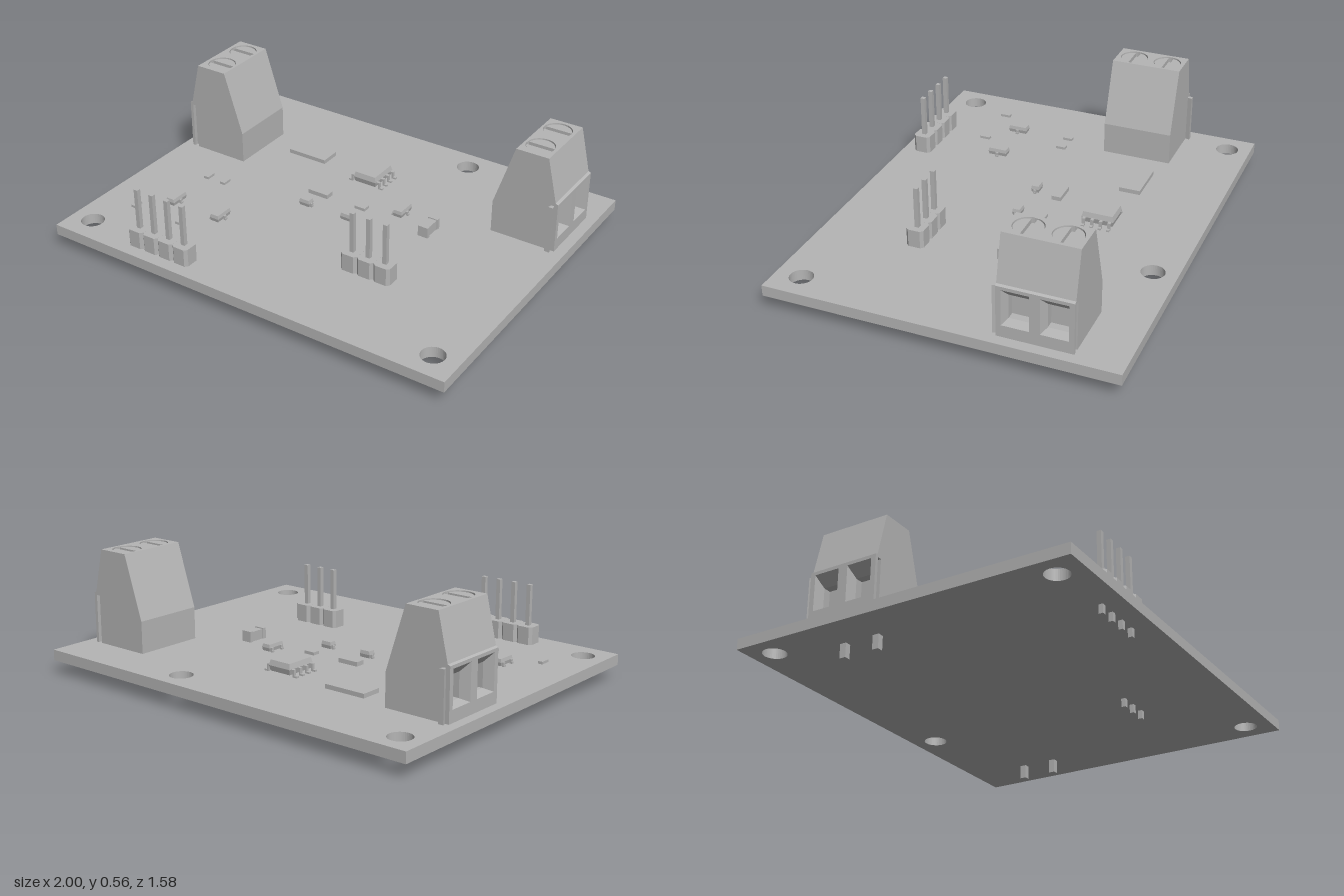
import * as THREE from 'three';

const grey = new THREE.MeshStandardMaterial({ color: 0xb5b5b5 });
grey.name = 'plain grey';
const TOP = 0.115; // upper face of the board

function add(parent, name, geometry, x = 0, y = 0, z = 0) {
  const mesh = new THREE.Mesh(geometry, grey);
  mesh.name = name;
  mesh.position.set(x, y, z);
  parent.add(mesh);
  return mesh;
}

function group(parent, name, x = 0, y = 0, z = 0) {
  const g = new THREE.Group();
  g.name = name;
  g.position.set(x, y, z);
  parent.add(g);
  return g;
}

// Box standing on its local y = 0
const box = (w, h, d) => new THREE.BoxGeometry(w, h, d).translate(0, h / 2, 0);
const poly = (pts) => new THREE.Shape(pts.map(([x, y]) => new THREE.Vector2(x, y)));

// Plan outline (x, -z) raised by h
function raise(shape, h) {
  return new THREE.ExtrudeGeometry(shape, { depth: h, bevelEnabled: false, curveSegments: 20 }).rotateX(-Math.PI / 2);
}

function rectPlan(x0, x1, d, holes) {
  const s = poly([[x0, -d], [x1, -d], [x1, d], [x0, d]]);
  for (const [x, z, r] of holes) s.holes.push(new THREE.Path().absarc(x, -z, r, 0, Math.PI * 2, true));
  return s;
}

// Moulded package: box narrowed towards the top and bottom from its waist
function moulded(w, h, d, inset) {
  const g = new THREE.BoxGeometry(w, h, d, 1, 2, 1).toNonIndexed();
  const p = g.attributes.position;
  for (let i = 0; i < p.count; i++) {
    if (Math.abs(p.getY(i)) < h / 4) continue;
    p.setX(i, p.getX(i) - Math.sign(p.getX(i)) * inset);
    p.setZ(i, p.getZ(i) - Math.sign(p.getZ(i)) * inset);
  }
  g.computeVertexNormals();
  return g.translate(0, h / 2, 0);
}

// Wire entry: loops stepping inwards from the face, closed at the back
function wireEntry() {
  const loops = [[0.145, 0.17, 0.335, 0.06], [0.1, 0.18, 0.29, 0.045], [0.065, 0.18, 0.29, 0.045]]
    .map(([x, y0, y1, z]) => [[x, y0, -z], [x, y1, -z], [x, y1, z], [x, y0, z]]);
  const v = [];
  for (let k = 0; k < 2; k++) {
    const [a, b] = [loops[k], loops[k + 1]];
    for (let i = 0; i < 4; i++) {
      const j = (i + 1) % 4;
      v.push(...a[i], ...a[j], ...b[j], ...a[i], ...b[j], ...b[i]);
    }
  }
  const e = loops[2];
  v.push(...e[0], ...e[1], ...e[2], ...e[0], ...e[2], ...e[3]);
  const g = new THREE.BufferGeometry();
  g.setAttribute('position', new THREE.Float32BufferAttribute(v, 3));
  g.computeVertexNormals();
  return g;
}

function terminalBlock(parent, name, x, z, turn) {
  const g = group(parent, name, x, 0, z);
  g.rotation.y = turn;
  const upper = [[0.145, 0.35], [0.133, 0.355], [0.0944, 0.52], [-0.083, 0.52], [-0.165, 0.265]];
  const solid = [[-0.165, TOP], [0.145, TOP], ...upper];
  const notched = [[-0.165, TOP], [0.145, TOP], [0.145, 0.17], [0.06, 0.17], [0.06, 0.335], [0.145, 0.335], ...upper];
  const grooved = [[-0.165, TOP], [0.11, TOP], [0.11, 0.34], [0.13, 0.34], [0.13, TOP], [0.145, TOP], ...upper];
  // Housing as slices from one end to the other
  const slices = [
    [-0.165, -0.148, grooved], [-0.148, -0.1425, solid], [-0.1425, -0.0225, notched],
    [-0.0225, 0.0225, solid], [0.0225, 0.1425, notched], [0.1425, 0.165, solid],
  ];
  for (const [z0, z1, pts] of slices) {
    add(g, 'housingSlice', new THREE.ExtrudeGeometry(poly(pts), { depth: z1 - z0, bevelEnabled: false }), 0, 0, z0);
  }
  // Sloping cap with the screw wells
  const sx = 0.005, pitch = 0.0825;
  const cap = raise(rectPlan(-0.083, 0.0944, 0.165, [[sx, -pitch, 0.065], [sx, pitch, 0.065]]), 0.04);
  const p = cap.attributes.position;
  for (let i = 0; i < p.count; i++) {
    if (p.getY(i) < 0.02) continue;
    if (p.getX(i) > 0.09) p.setX(i, 0.085);
    if (p.getX(i) < -0.08) p.setX(i, -0.07);
  }
  cap.computeVertexNormals();
  add(g, 'housingCap', cap, 0, 0.52, 0);
  // Screws, wire entries and solder legs
  const a = Math.asin(0.012 / 0.062);
  const half = raise(new THREE.Shape().absarc(0, 0, 0.062, a, Math.PI - a, false), 0.02);
  for (const s of [-1, 1]) {
    add(g, 'screwBase', new THREE.CylinderGeometry(0.062, 0.062, 0.015, 32), sx, 0.5275, s * pitch);
    add(g, 'screwHeadHalf', half, sx, 0.535, s * pitch);
    add(g, 'screwHeadHalf', half, sx, 0.535, s * pitch).rotation.y = Math.PI;
    add(g, 'wireEntry', wireEntry(), 0, 0, s * pitch);
    add(g, 'solderLeg', box(0.028, 0.12, 0.03), 0, 0, s * pitch);
  }
  // Dovetail rail on one end
  const rail = raise(poly([[0.114, -0.164], [0.126, -0.164], [0.132, -0.185], [0.108, -0.185]].reverse()), 0.225);
  add(g, 'dovetailRail', rail, 0, TOP, 0);
}

function pinHeader(parent, name, x, z, count) {
  const g = group(parent, name, x, 0, z);
  const h = 0.0408, c = 0.028;
  const cell = raise(poly([[-h, -c], [-c, -h], [c, -h], [h, -c], [h, c], [c, h], [-c, h], [-h, c]]), 0.083);
  const pin = moulded(0.02, 0.365, 0.02, 0);
  for (let i = 0; i < count; i++) {
    const px = (i - (count - 1) / 2) * 0.082;
    add(g, 'headerCell', cell, px, TOP, 0);
    add(g, 'pin', pin, px, 0.025, 0);
  }
}

// Bent lead: a foot on the board, a riser and a shoulder; side is the outward x direction
function lead(parent, side, edge, reach, z, w, rise) {
  const t = 0.008;
  add(parent, 'leadFoot', box(reach * 0.6, t, w), side * (edge + reach * 0.7), TOP, z);
  add(parent, 'leadRiser', box(t, rise, w), side * (edge + reach * 0.45), TOP, z);
  add(parent, 'leadShoulder', box(reach * 0.6, t, w), side * (edge + reach * 0.2), TOP + rise - t, z);
}

export function createModel() {
  const model = new THREE.Group();
  model.name = 'circuitBoard';

  // Board with mounting holes
  const holes = [[-0.89, -0.68], [0.285, -0.68], [-0.89, 0.67], [0.88, 0.67]].map(([x, z]) => [x, z, 0.053]);
  add(model, 'board', raise(rectPlan(-1, 1, 0.79, holes), 0.05), 0, 0.065, 0);

  terminalBlock(model, 'leftTerminalBlock', 0.805, -0.4125, 0);
  terminalBlock(model, 'rightTerminalBlock', -0.81, -0.2925, Math.PI);
  pinHeader(model, 'fourPinHeader', -0.462, 0.692, 4);
  pinHeader(model, 'threePinHeader', 0.37, 0.337, 3);

  // Eight-lead chip
  const chip = group(model, 'eightLeadChip', -0.035, 0, -0.335);
  add(chip, 'chipBody', moulded(0.12, 0.05, 0.15, 0.006), 0, 0.122, 0);
  for (const s of [-1, 1]) {
    for (let i = 0; i < 4; i++) lead(chip, s, 0.058, 0.034, (i - 1.5) * 0.04, 0.014, 0.034);
  }

  // Three-lead transistors
  for (const [x, z] of [[0.24, -0.15], [-0.68, 0.335], [-0.425, 0.335]]) {
    const t = group(model, 'transistor', x, 0, z);
    add(t, 'transistorBody', moulded(0.045, 0.032, 0.092, 0.003), 0, 0.118, 0);
    lead(t, 1, 0.02, 0.014, 0, 0.014, 0.02);
    for (const s of [-1, 1]) lead(t, -1, 0.02, 0.014, s * 0.031, 0.014, 0.02);
  }

  // Two-lead diodes
  for (const x of [-0.165, 0.06]) {
    const d = group(model, 'diode', x, 0, 0.03);
    add(d, 'diodeBody', moulded(0.054, 0.032, 0.038, 0.003), 0, 0.118, 0);
    for (const s of [-1, 1]) lead(d, s, 0.025, 0.01, 0, 0.014, 0.018);
  }

  // Plain chip parts: name, x, z, width, depth, height
  const chips = [
    ['flatPackage', -0.407, -0.374, 0.205, 0.1, 0.02],
    ['wideResistor', -0.165, -0.085, 0.105, 0.045, 0.02],
    ['resistor', 0.062, -0.085, 0.055, 0.036, 0.014],
    ['resistor', -0.693, 0.077, 0.026, 0.047, 0.012],
    ['resistor', -0.597, 0.077, 0.026, 0.047, 0.012],
    ['resistor', -0.81, 0.463, 0.022, 0.05, 0.012],
    ['resistor', -0.552, 0.463, 0.022, 0.05, 0.012],
  ];
  for (const [name, x, z, w, d, h] of chips) add(model, name, box(w, h, d), x, TOP, z);

  // Capacitor with a narrower waist between its end caps
  const cap = group(model, 'capacitor', 0.416, TOP, -0.084);
  add(cap, 'capacitorBody', box(0.04, 0.046, 0.1), 0, 0, 0);
  for (const s of [-1, 1]) add(cap, 'capacitorEnd', box(0.05, 0.051, 0.018), 0, 0, s * 0.043);

  return model;
}
